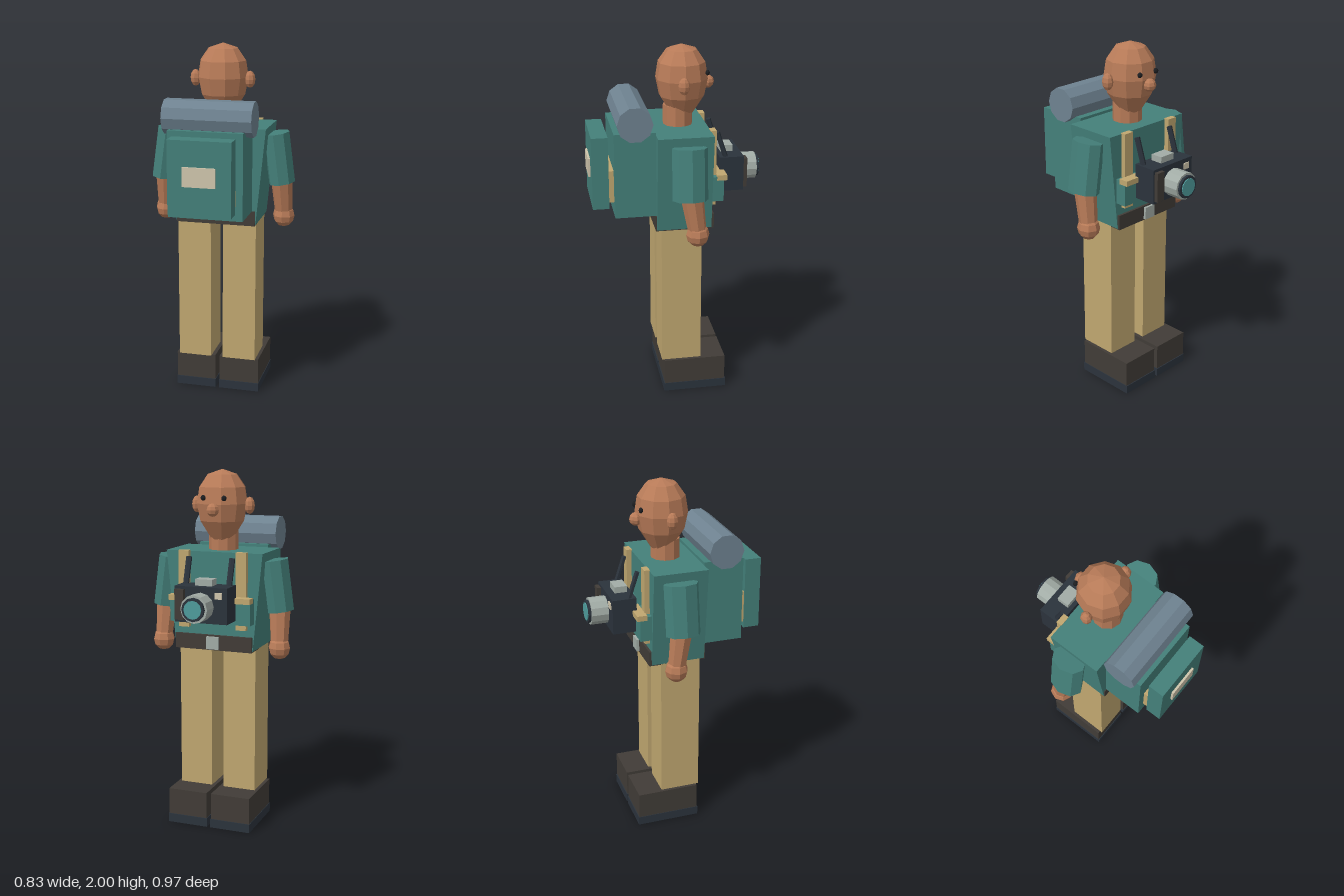
import * as THREE from 'three';

const mat = (color) => new THREE.MeshStandardMaterial({ color, flatShading: true });

export function createModel() {
  const skin = mat(0xb87b58), teal = mat(0x44807a), khaki = mat(0xc0a770), brown = mat(0x413c37);
  const navy = mat(0x2b333c), slate = mat(0x6e8290), cream = mat(0xcfc5ac), silver = mat(0xa2aca6);
  const glass = mat(0x4f9c9c), black = mat(0x1c1e21);

  const model = new THREE.Group();
  model.name = 'hiker';

  const add = (name, geometry, material, parent = model) => {
    const mesh = new THREE.Mesh(geometry, material);
    mesh.name = name;
    parent.add(mesh);
    return mesh;
  };
  // Box given by its extents along each axis
  const box = (name, material, [x0, x1], [y0, y1], [z0, z1], parent) => {
    const g = new THREE.BoxGeometry(x1 - x0, y1 - y0, z1 - z0);
    g.translate((x0 + x1) / 2, (y0 + y1) / 2, (z0 + z1) / 2);
    return add(name, g, material, parent);
  };
  // Box reaching equally to both sides of the middle
  const midBox = (name, material, half, y, z, parent) => box(name, material, [-half, half], y, z, parent);
  const ellipsoid = (name, material, pos, radii, w, h, parent) => {
    const g = new THREE.SphereGeometry(1, w, h);
    g.scale(...radii);
    g.translate(...pos);
    return add(name, g, material, parent);
  };
  // Tapered limb running from a to b
  const limb = (name, material, a, b, rTop, rBottom, sides, depth, parent) => {
    const from = new THREE.Vector3(...a), to = new THREE.Vector3(...b);
    const dir = from.clone().sub(to);
    const g = new THREE.CylinderGeometry(rTop, rBottom, dir.length(), sides);
    g.scale(1, 1, depth);
    const mesh = add(name, g, material, parent);
    mesh.position.copy(from).add(to).multiplyScalar(0.5);
    mesh.quaternion.setFromUnitVectors(new THREE.Vector3(0, 1, 0), dir.normalize());
    return mesh;
  };
  // Cylinder along z
  const barrel = (name, material, radius, z0, z1, sides, parent) => {
    const g = new THREE.CylinderGeometry(radius, radius, z1 - z0, sides);
    g.rotateX(Math.PI / 2);
    g.translate(0, 1.29, (z0 + z1) / 2);
    return add(name, g, material, parent);
  };

  // Shirt, narrowing towards the waist
  const torso = new THREE.BoxGeometry(0.56, 0.54, 0.303);
  const p = torso.attributes.position;
  for (let i = 0; i < p.count; i++) if (p.getY(i) < 0) p.setX(i, p.getX(i) * 0.81);
  torso.translate(0, 1.29, -0.027);
  add('shirt', torso, teal);
  midBox('belt', brown, 0.225, [1.015, 1.1], [-0.192, 0.13]);
  midBox('beltBuckle', silver, 0.035, [1.022, 1.092], [-0.207, -0.19]);

  // Head and neck
  const neck = new THREE.CylinderGeometry(0.082, 0.082, 0.14, 10);
  neck.translate(0, 1.6, -0.027);
  add('neck', neck, skin);
  const profile = [[0, 1.59], [0.062, 1.62], [0.125, 1.72], [0.144, 1.815], [0.13, 1.905], [0.083, 1.972], [0, 2]];
  const head = new THREE.LatheGeometry(profile.map(([x, y]) => new THREE.Vector2(x, y)), 10);
  head.rotateY(Math.PI / 2);
  head.translate(0, 0, -0.048);
  add('head', head, skin);
  ellipsoid('nose', skin, [0, 1.787, -0.192], [0.036, 0.036, 0.036], 8, 6);

  // Parts in pairs: face, arms, legs, straps
  for (const s of [1, -1]) {
    const side = new THREE.Group();
    side.name = s > 0 ? 'leftSide' : 'rightSide';
    model.add(side);
    const span = (a, b) => (s > 0 ? [a, b] : [-b, -a]);

    ellipsoid('ear', skin, [s * 0.155, 1.805, -0.036], [0.03, 0.047, 0.032], 8, 6, side);
    ellipsoid('eye', black, [s * 0.06, 1.85, -0.18], [0.015, 0.015, 0.012], 8, 6, side);

    limb('sleeve', teal, [s * 0.305, 1.515, -0.04], [s * 0.343, 1.235, -0.038], 0.074, 0.074, 8, 1.3, side);
    limb('forearm', skin, [s * 0.338, 1.27, -0.045], [s * 0.347, 1.06, -0.075], 0.063, 0.05, 8, 1, side);
    ellipsoid('hand', skin, [s * 0.348, 1.035, -0.078], [0.062, 0.066, 0.064], 8, 6, side);

    box('trouserLeg', khaki, span(0.035, 0.225), [0.2, 1.025], [-0.125, 0.1], side);
    box('boot', brown, span(0.013, 0.243), [0.05, 0.2], [-0.266, 0.086], side);
    box('bootSole', navy, span(0.01, 0.246), [0, 0.05], [-0.271, 0.091], side);

    box('shoulderStrap', khaki, span(0.138, 0.197), [1.14, 1.565], [-0.207, -0.175], side);
    box('chestPouch', teal, span(0.068, 0.234), [1.175, 1.315], [-0.243, -0.175], side);
    box('pouchFlap', khaki, span(0.065, 0.237), [1.295, 1.325], [-0.26, -0.205], side);
    limb('cameraStrap', navy, [s * 0.125, 1.535, -0.225], [s * 0.125, 1.375, -0.278], 0.017, 0.017, 6, 0.8, side);
  }

  // Backpack with pocket and bedroll
  const pack = new THREE.Group();
  pack.name = 'backpack';
  model.add(pack);
  midBox('packBody', teal, 0.207, [1.1, 1.575], [0.125, 0.35], pack);
  midBox('packBand', khaki, 0.167, [1.18, 1.36], [0.35, 0.38], pack);
  midBox('packPocket', teal, 0.173, [1.145, 1.55], [0.378, 0.468], pack);
  midBox('packPatch', cream, 0.089, [1.305, 1.41], [0.465, 0.48], pack);
  const roll = new THREE.CylinderGeometry(0.097, 0.097, 0.492, 10);
  roll.rotateZ(Math.PI / 2);
  roll.translate(0, 1.633, 0.24);
  add('bedroll', roll, slate, pack);

  // Camera hanging on the chest
  const camera = new THREE.Group();
  camera.name = 'photoCamera';
  model.add(camera);
  midBox('cameraBody', navy, 0.15, [1.2, 1.395], [-0.371, -0.237], camera);
  midBox('viewfinder', silver, 0.049, [1.39, 1.43], [-0.33, -0.26], camera);
  box('cameraGrip', brown, [0.09, 0.142], [1.215, 1.38], [-0.393, -0.368], camera);
  box('flashWindow', cream, [-0.123, -0.083], [1.335, 1.37], [-0.377, -0.368], camera);
  barrel('lensBarrel', silver, 0.076, -0.466, -0.365, 12, camera);
  barrel('lensRing', navy, 0.064, -0.481, -0.464, 12, camera);
  barrel('lensGlass', glass, 0.05, -0.486, -0.476, 12, camera);

  return model;
}
